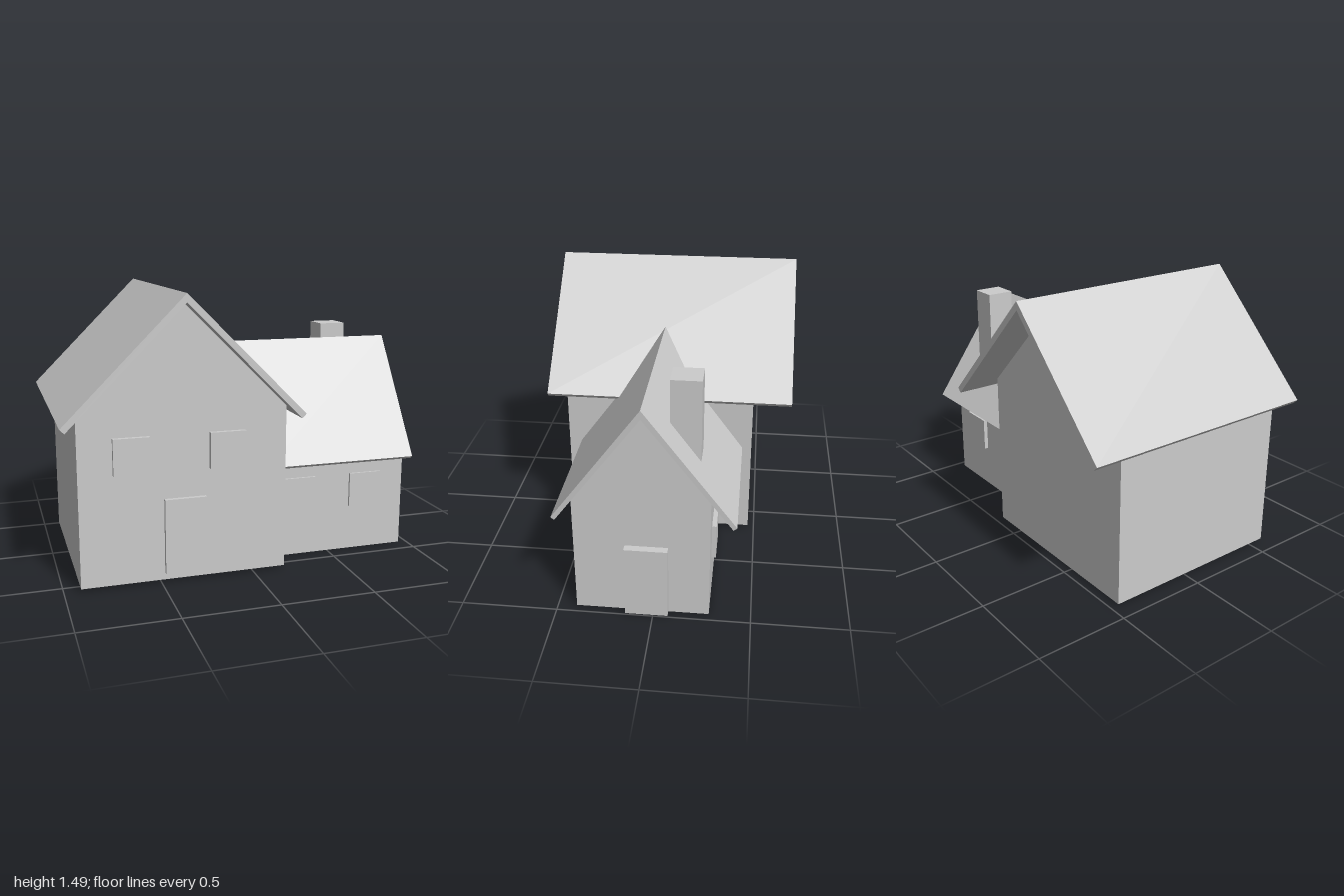
import * as THREE from 'three';

const material = new THREE.MeshStandardMaterial({ color: 0xcccccc, flatShading: true });

// Extrudes a profile given as [u, y] points from 'from' to 'to' along z.
function extrude(points, from, to) {
  const shape = new THREE.Shape(points.map(([u, y]) => new THREE.Vector2(u, y)));
  const geometry = new THREE.ExtrudeGeometry(shape, { depth: to - from, bevelEnabled: false });
  return geometry.translate(0, 0, from);
}

// Gabled wall block profile.
const gable = (left, right, base, eaveLeft, eaveRight, ridgeU, ridgeY) => [
  [left, base], [right, base], [right, eaveRight], [ridgeU, ridgeY], [left, eaveLeft],
];

// Bent roof slab profile: outer and inner half-widths with their heights.
const roofProfile = (u, outer, inner) => [
  [u - outer.half, outer.eave], [u - inner.half, inner.eave], [u, inner.ridge],
  [u + inner.half, inner.eave], [u + outer.half, outer.eave], [u, outer.ridge],
];

export function createModel() {
  const house = new THREE.Group();
  house.name = 'house';

  const add = (name, geometry) => {
    const mesh = new THREE.Mesh(geometry, material);
    mesh.name = name;
    house.add(mesh);
  };
  const addBox = (name, x0, x1, y0, y1, z0, z1) => {
    const geometry = new THREE.BoxGeometry(x1 - x0, y1 - y0, z1 - z0);
    add(name, geometry.translate((x0 + x1) / 2, (y0 + y1) / 2, (z0 + z1) / 2));
  };

  // Main house, ridge running front to back
  add('mainWalls', extrude(gable(-0.915, 0.172, 0.018, 0.905, 0.898, -0.377, 1.445), -0.465, 0.578));
  add('mainRoof', extrude(roofProfile(-0.377,
    { half: 0.623, eave: 0.868, ridge: 1.49 },
    { half: 0.6, eave: 0.845, ridge: 1.445 }), -0.673, 0.673));

  // Side wing, ridge running left to right (profile u is -z)
  add('wingWalls', extrude(gable(-0.402, 0.285, 0, 0.654, 0.677, -0.047, 1.125), 0.063, 0.955)
    .rotateY(Math.PI / 2));

  // Wing roof, its ends leaning out toward the ridge
  const wingRoof = extrude(roofProfile(-0.047,
    { half: 0.461, eave: 0.545, ridge: 1.172 },
    { half: 0.443, eave: 0.53, ridge: 1.125 }), -0.08, 0.98).rotateY(Math.PI / 2);
  const position = wingRoof.attributes.position;
  for (let i = 0; i < position.count; i++) {
    const drop = (1.172 - position.getY(i)) / 0.64;
    const x = position.getX(i);
    position.setX(i, x > 0.5 ? x - 0.022 * drop : x + 0.18 * drop);
  }
  wingRoof.computeVertexNormals();
  add('wingRoof', wingRoof);

  addBox('chimney', 0.635, 0.785, 0.75, 1.24, -0.223, -0.068);

  // Doors
  addBox('frontDoor', -0.482, -0.262, 0.055, 0.452, 0.56, 0.602);
  addBox('sideDoor', 0.958, 0.998, 0.006, 0.403, -0.077, 0.142);

  // Windows
  for (const x of [-0.74, -0.242]) {
    addBox('mainWindow', x, x + 0.188, 0.595, 0.785, 0.56, 0.602);
  }
  for (const x of [0.228, 0.625]) {
    addBox('wingFrontWindow', x, x + 0.188, 0.253, 0.445, 0.38, 0.415);
    addBox('wingBackWindow', x, x + 0.188, 0.253, 0.445, -0.308, -0.265);
  }

  return house;
}
